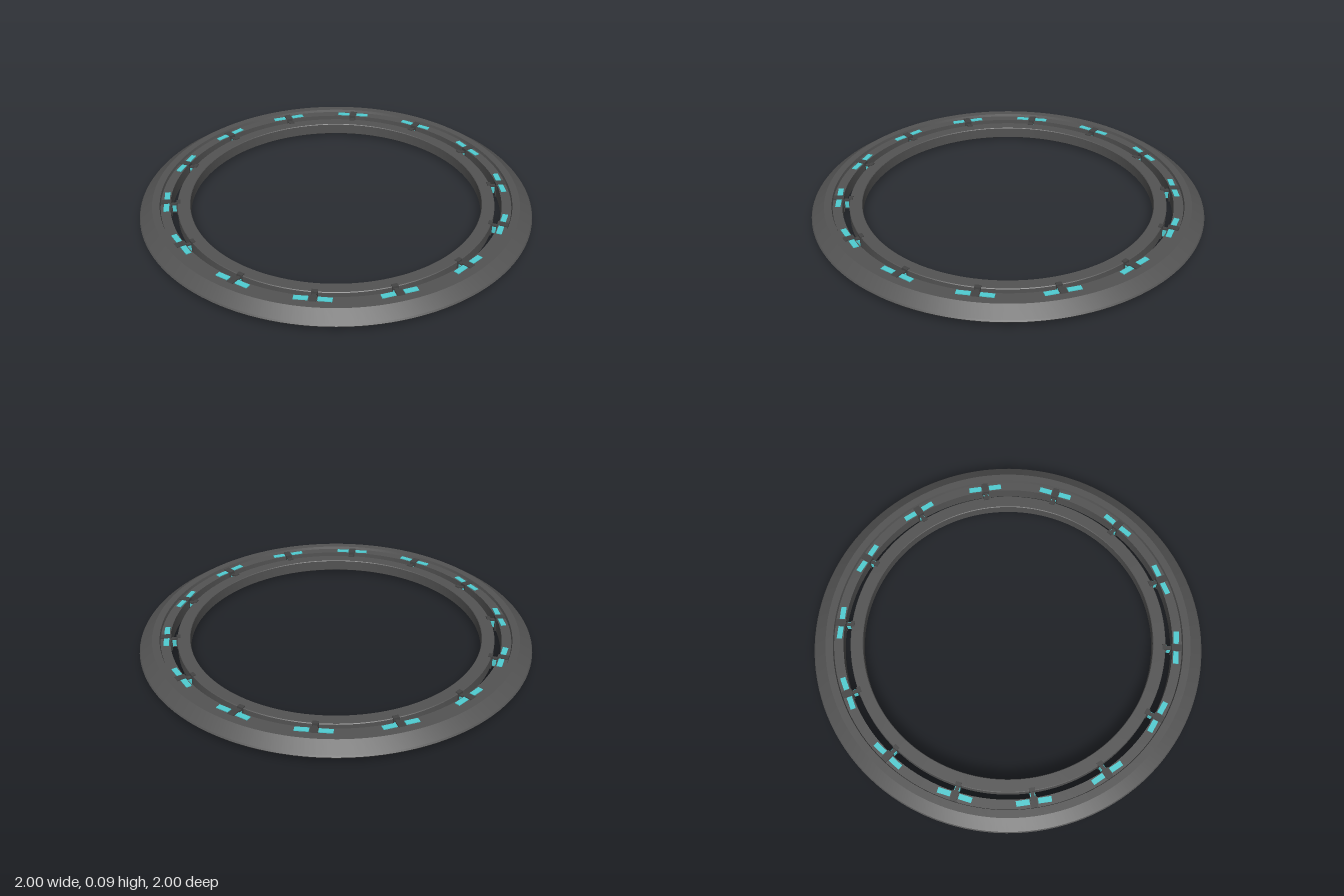
import * as THREE from 'three';
import { toCreasedNormals } from 'three/addons/utils/BufferGeometryUtils.js';

const MID = 0.0475; // height of the ring's mid plane
const COUNT = 14;   // number of spokes

export function createModel() {
  const model = new THREE.Group();
  const hull = new THREE.MeshStandardMaterial({ color: 0x535353 });
  hull.name = 'dark grey hull';
  const trim = new THREE.MeshStandardMaterial({ color: 0x444444 });
  trim.name = 'charcoal brackets';
  const glow = new THREE.MeshStandardMaterial({ color: 0x4fcdd2 });
  glow.name = 'cyan lights';

  // Revolve a closed section of [radius, height above mid plane], counterclockwise
  function ring(name, section) {
    const points = [...section, section[0]].map(([r, y]) => new THREE.Vector2(r, y));
    const geometry = toCreasedNormals(new THREE.LatheGeometry(points, 128), 0.3);
    const mesh = new THREE.Mesh(geometry, hull);
    mesh.name = name;
    mesh.position.y = MID;
    model.add(mesh);
  }

  // Bevelled outer ring with a shallow step on both faces
  ring('outerRing', [
    [0.845, -0.034], [0.893, -0.034], [0.897, -0.0475], [0.935, -0.0475],
    [0.995, -0.007], [1, 0], [0.995, 0.007],
    [0.935, 0.0475], [0.897, 0.0475], [0.893, 0.034], [0.845, 0.034],
  ]);
  ring('innerRing', [
    [0.745, -0.028], [0.748, -0.031], [0.807, -0.031], [0.81, -0.028],
    [0.81, 0.028], [0.807, 0.031], [0.748, 0.031], [0.745, 0.028],
  ]);

  // Box spanning radii r0 to r1 in a spoke's own frame
  function block(parent, name, material, r0, r1, height, width, y = 0, z = 0) {
    const mesh = new THREE.Mesh(new THREE.BoxGeometry(r1 - r0, height, width), material);
    mesh.name = name;
    mesh.position.set((r0 + r1) / 2, y, z);
    parent.add(mesh);
  }

  for (let i = 0; i < COUNT; i++) {
    const spoke = new THREE.Group();
    spoke.name = 'spoke';
    spoke.position.y = MID;
    spoke.rotation.y = (i * Math.PI * 2) / COUNT;
    block(spoke, 'spokeBeam', trim, 0.8, 0.855, 0.05, 0.018);
    block(spoke, 'outerBracket', trim, 0.84, 0.893, 0.078, 0.034);
    block(spoke, 'innerBracket', trim, 0.795, 0.815, 0.07, 0.03);
    for (const side of [-1, 1]) {
      // Light strips on the beam's flanks and plates on the step beside it
      block(spoke, 'beamLight', glow, 0.817, 0.836, 0.034, 0.004, 0, side * 0.011);
      block(spoke, 'lightPlate', glow, 0.849, 0.876, 0.006, 0.066, 0.035, side * 0.054);
    }
    model.add(spoke);
  }
  return model;
}
